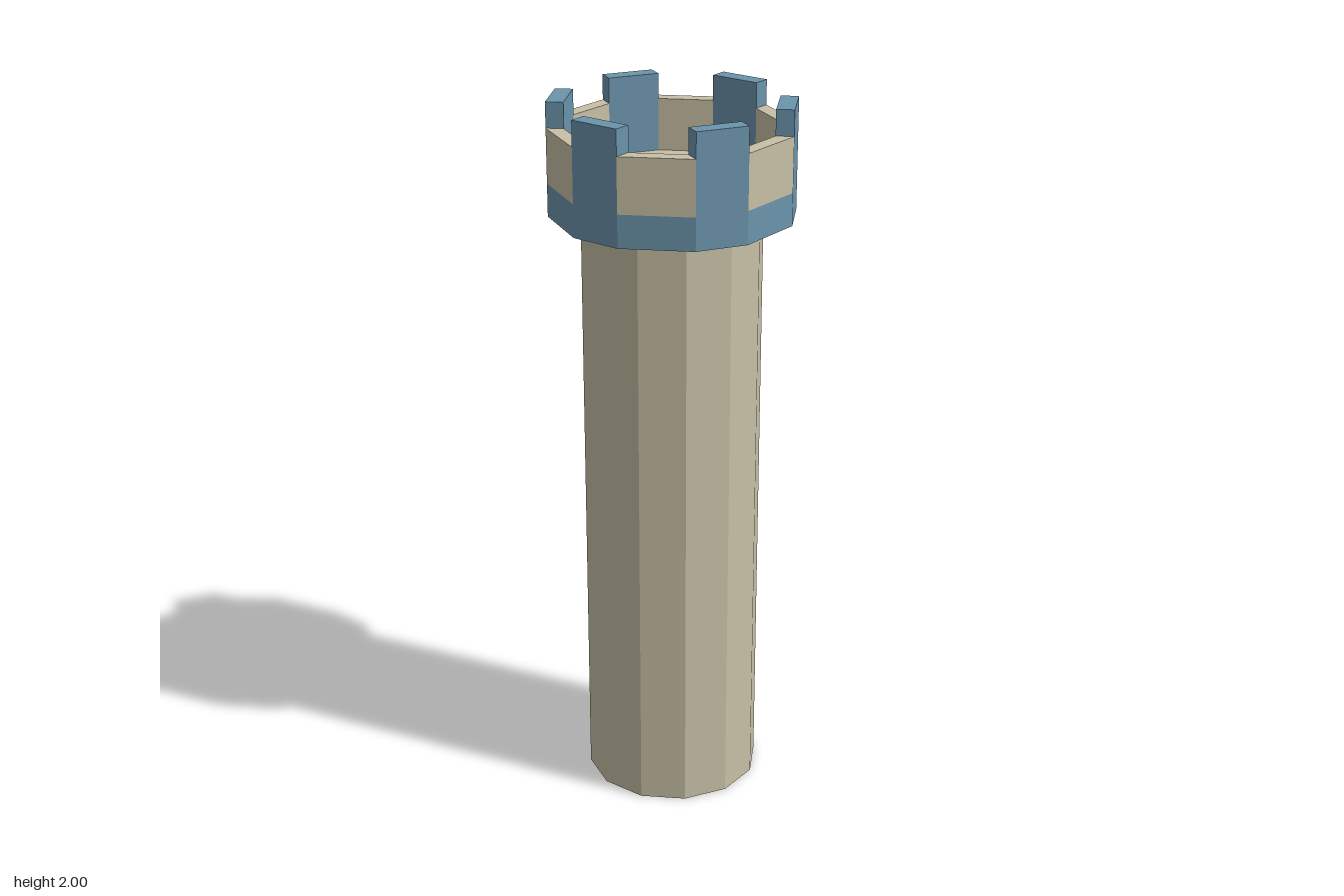
import * as THREE from 'three';

const beige = new THREE.MeshStandardMaterial({ color: 0xc8c0a6, flatShading: true });
const blue = new THREE.MeshStandardMaterial({ color: 0x6c94ac, flatShading: true });

const SHAFT_R = 0.247, INNER_R = 0.286, OUTER_R = 0.333;
const BASE = 1.69, BAND = 1.78, SILL = 1.93, TOP = 2;
const FLOOR = 1.785;

// point on a circle, angle in degrees from +x towards +z
const polar = (r, deg) => {
  const a = THREE.MathUtils.degToRad(deg);
  return new THREE.Vector2(r * Math.cos(a), r * Math.sin(a));
};

// upright prism over a plan outline of (x, z) points
function prism(name, outline, y0, y1, capMaterial, sideMaterial) {
  const shape = new THREE.Shape(outline.map(p => new THREE.Vector2(p.x, -p.y)));
  const geo = new THREE.ExtrudeGeometry(shape, { depth: y1 - y0, bevelEnabled: false });
  geo.rotateX(-Math.PI / 2).translate(0, y0, 0);
  const mesh = new THREE.Mesh(geo, [capMaterial, sideMaterial]);
  mesh.name = name;
  return mesh;
}

export function createModel() {
  const model = new THREE.Group();
  model.name = 'tower';

  // twelve corners: a narrow merlon side, then a wider gap side
  const shaft = [], inner = [], outer = [];
  for (let i = 0; i < 6; i++) {
    const a = i * 60;
    shaft.push(polar(SHAFT_R, a - 2.5), polar(SHAFT_R, a + 27.5));
    inner.push(polar(INNER_R, a - 1.4), polar(INNER_R, a + 28));
    outer.push(polar(OUTER_R, a + 0.7), polar(OUTER_R, a + 25.8));
  }

  model.add(prism('shaft', shaft, 0, BAND - 0.02, beige, beige));
  model.add(prism('platformFloor', inner, BAND - 0.02, FLOOR, beige, beige));

  // battlement ring: lower band, then merlons and sills in turn
  const ring = new THREE.Group();
  ring.name = 'battlement';
  for (let i = 0; i < 12; i++) {
    const j = (i + 1) % 12;
    const isMerlon = i % 2 === 0;
    const foot = [shaft[i], outer[i], outer[j], shaft[j]];
    const wall = [inner[i], outer[i], outer[j], inner[j]];
    ring.add(prism('lowerBand', foot, BASE, BAND, isMerlon ? blue : beige, blue));
    ring.add(isMerlon
      ? prism('merlon', wall, BAND, TOP, blue, blue)
      : prism('parapetWall', wall, BAND, SILL, beige, beige));
  }
  model.add(ring);
  return model;
}
